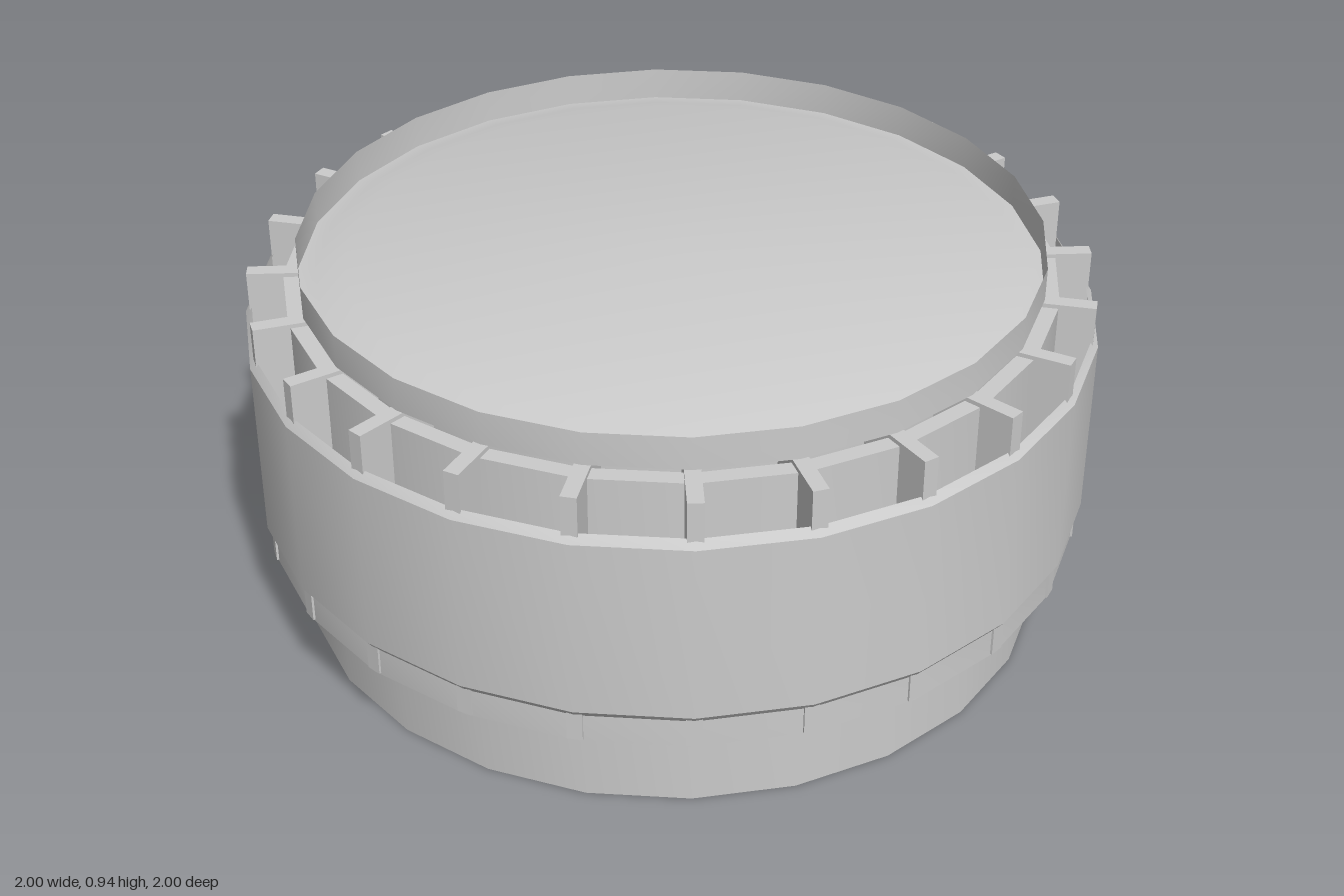
import * as THREE from 'three';
import { toCreasedNormals } from 'three/addons/utils/BufferGeometryUtils.js';

const SIDES = 24;

export function createModel() {
  const group = new THREE.Group();
  const material = new THREE.MeshStandardMaterial({ color: 0xcccccc, side: THREE.DoubleSide });

  // Revolve a [radius, height] profile into a 24-sided sheet
  function turned(name, profile) {
    const points = profile.map(([r, y]) => new THREE.Vector2(r, y));
    const geometry = toCreasedNormals(new THREE.LatheGeometry(points, SIDES), 0.35);
    const mesh = new THREE.Mesh(geometry, material);
    mesh.name = name;
    group.add(mesh);
  }

  // Thin outer band with chamfered edges
  turned('outerShell', [[0.985, 0.22], [0.985, 0.29], [1, 0.31], [1, 0.75], [0.985, 0.77]]);

  // Inner sleeve, open below, with a narrow lip on top
  turned('sleeve', [[0.905, 0], [0.905, 0.85], [0.865, 0.85]]);

  // Closed core inside the sleeve
  turned('core', [[0, 0.017], [0.785, 0.017], [0.785, 0.845], [0, 0.845]]);

  // Raised rim and the bevelled pad within it
  turned('topRim', [[0.87, 0.86], [0.87, 0.94]]);
  turned('topPad', [[0.87, 0.86], [0.83, 0.865], [0.76, 0.89], [0, 0.89]]);

  // Radial ribs joining core, sleeve and shell
  const ribs = new THREE.Group();
  ribs.name = 'ribs';
  const inner = 0.78, outer = 0.988, bottom = 0.225, top = 0.86;
  const ribGeometry = new THREE.BoxGeometry(0.036, top - bottom, outer - inner);
  ribGeometry.translate(0, (top + bottom) / 2, (inner + outer) / 2);
  for (let i = 0; i < SIDES; i++) {
    const rib = new THREE.Mesh(ribGeometry, material);
    rib.name = 'rib';
    rib.rotation.y = (i / SIDES) * Math.PI * 2;
    ribs.add(rib);
  }
  group.add(ribs);

  return group;
}
